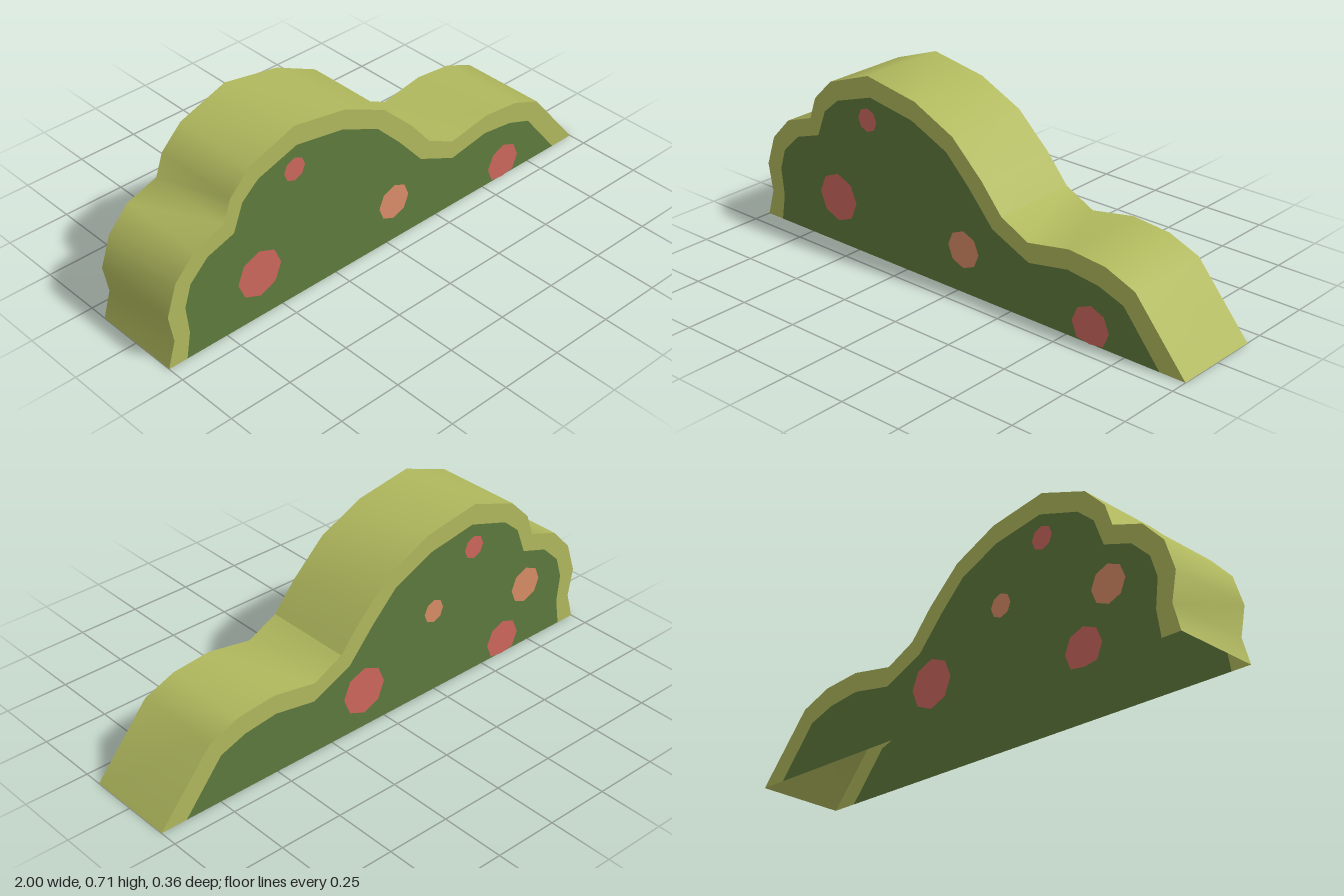
import * as THREE from 'three';

const FRONT_Z = 0.179, BACK_Z = -0.177;

// Outline of the bush, left foot to right foot
const OUTER = [
  [-1, 0], [-0.97, 0.105], [-0.99, 0.215], [-0.95, 0.335], [-0.865, 0.425], [-0.74, 0.468],
  [-0.71, 0.555], [-0.625, 0.64], [-0.43, 0.71], [-0.2, 0.67], [-0.02, 0.585], [0.115, 0.457],
  [0.205, 0.35], [0.325, 0.29], [0.505, 0.322], [0.66, 0.307], [0.785, 0.257], [1, 0],
];
// Inner edge of the pale rim
const INNER = [
  [-0.922, 0], [-0.905, 0.105], [-0.917, 0.215], [-0.89, 0.3], [-0.815, 0.372], [-0.7, 0.41],
  [-0.66, 0.515], [-0.59, 0.575], [-0.42, 0.63], [-0.215, 0.595], [-0.05, 0.52], [0.055, 0.415],
  [0.165, 0.29], [0.33, 0.215], [0.5, 0.245], [0.635, 0.228], [0.74, 0.19], [0.895, 0],
];
const CREASE = 12; // outline point where the two mounds meet

function material(name, color, side = THREE.FrontSide) {
  const m = new THREE.MeshStandardMaterial({ color, side });
  m.name = name;
  return m;
}

// Flat panel facing forward (dir 1) or backward (dir -1)
function panel(name, points, mat, dir, lift = 0) {
  const shape = new THREE.Shape(points.map(([x, y]) => new THREE.Vector2(x * dir, y)));
  const mesh = new THREE.Mesh(new THREE.ShapeGeometry(shape), mat);
  mesh.name = name;
  mesh.rotation.y = dir > 0 ? 0 : Math.PI;
  mesh.position.z = (dir > 0 ? FRONT_Z : BACK_Z) + dir * lift;
  return mesh;
}

// Smooth strip running from front to back along part of the outline
function wall(name, points, mat) {
  const pos = [], index = [];
  points.forEach(([x, y], i) => {
    pos.push(x, y, FRONT_Z, x, y, BACK_Z);
    if (i) {
      const a = 2 * i - 2;
      index.push(a, a + 2, a + 1, a + 1, a + 2, a + 3);
    }
  });
  const geo = new THREE.BufferGeometry();
  geo.setAttribute('position', new THREE.Float32BufferAttribute(pos, 3));
  geo.setIndex(index);
  geo.computeVertexNormals();
  const mesh = new THREE.Mesh(geo, mat);
  mesh.name = name;
  return mesh;
}

// Eight-sided spot, cut off at the ground
function octagon(cx, cy, r) {
  return Array.from({ length: 8 }, (_, i) => {
    const a = (i * Math.PI) / 4;
    return [cx + r * Math.cos(a), Math.max(0, cy + r * Math.sin(a))];
  });
}

export function createModel() {
  const group = new THREE.Group();
  group.name = 'bush';

  const rimGreen = material('pale green', 0xb0b85d, THREE.DoubleSide);
  const leafGreen = material('leaf green', 0x5d7a3d, THREE.DoubleSide);
  const red = material('flower red', 0xcd675d);
  const peach = material('flower peach', 0xd88c67);

  // Walls over the large and small mounds
  group.add(wall('largeMoundWall', OUTER.slice(0, CREASE + 1), rimGreen));
  group.add(wall('smallMoundWall', OUTER.slice(CREASE), rimGreen));

  // Leaf panels and rims, front and back
  const rim = [...OUTER, ...[...INNER].reverse()];
  for (const [label, dir] of [['front', 1], ['back', -1]]) {
    group.add(panel(label + 'Leaves', INNER, leafGreen, dir));
    group.add(panel(label + 'Rim', rim, rimGreen, dir));
  }

  // Flowers: x, y, radius, colour, facing
  const flowers = [
    [-0.6, 0.187, 0.095, red, 1], [-0.435, 0.54, 0.046, red, 1],
    [0.03, 0.17, 0.072, peach, 1], [0.605, 0.065, 0.08, red, 1],
    [0.1, 0.155, 0.095, red, -1], [-0.236, 0.345, 0.046, peach, -1],
    [-0.43, 0.535, 0.046, red, -1], [-0.716, 0.26, 0.073, peach, -1],
    [-0.604, 0.065, 0.08, red, -1],
  ];
  for (const [x, y, r, mat, dir] of flowers) {
    group.add(panel(dir > 0 ? 'frontFlower' : 'backFlower', octagon(x, y, r), mat, dir, 0.003));
  }
  return group;
}
